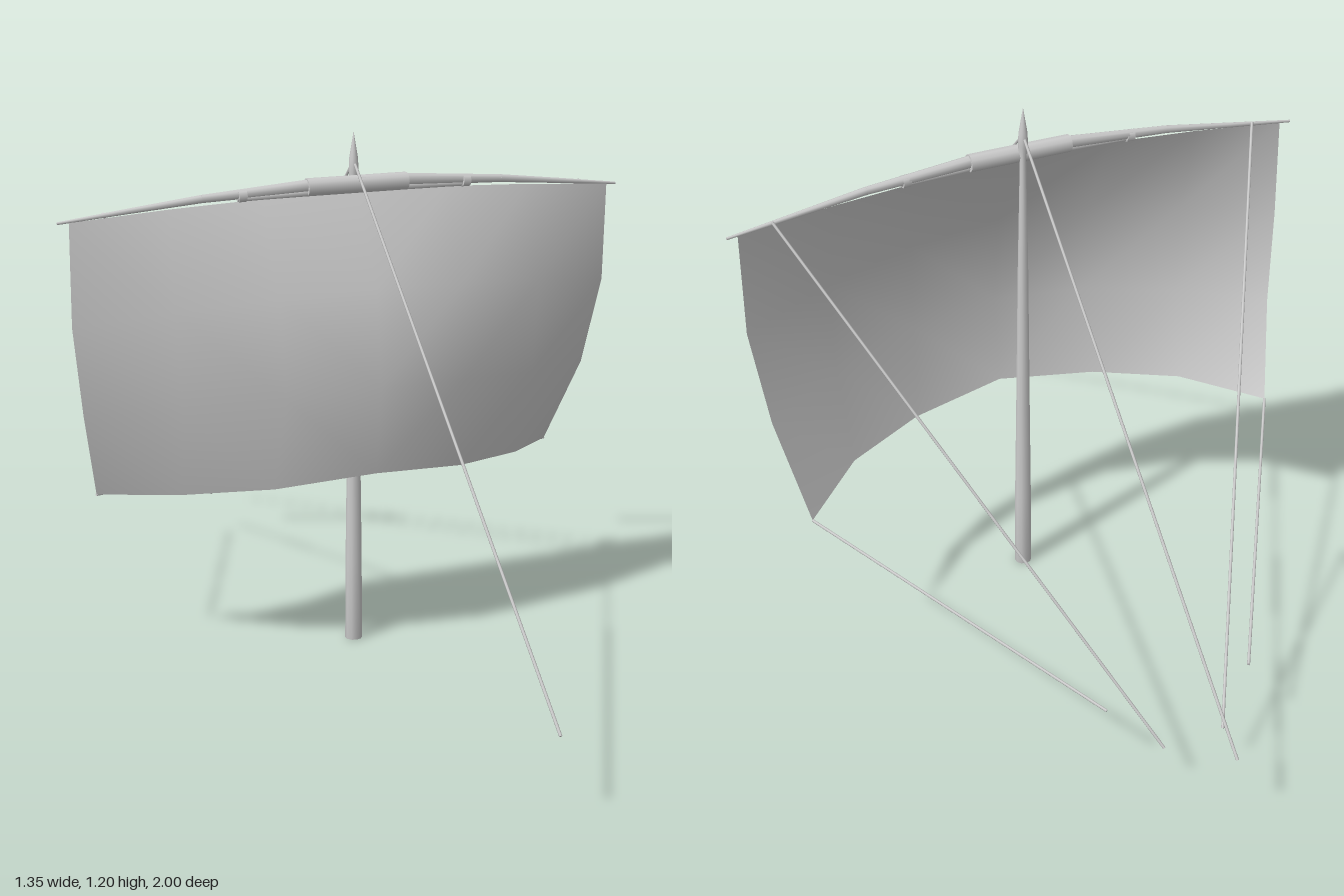
import * as THREE from 'three';

const material = new THREE.MeshStandardMaterial({ color: 0xcccccc });
const clothMaterial = new THREE.MeshStandardMaterial({ color: 0xcccccc, side: THREE.DoubleSide });

// Round rod between two points, with its own radius at each end
function rod(name, a, b, ra, rb = ra, sides = 8) {
  const from = new THREE.Vector3(...a), to = new THREE.Vector3(...b);
  const dir = to.clone().sub(from);
  const mesh = new THREE.Mesh(new THREE.CylinderGeometry(rb, ra, dir.length(), sides), material);
  mesh.name = name;
  mesh.position.copy(from).add(to).multiplyScalar(0.5);
  mesh.quaternion.setFromUnitVectors(new THREE.Vector3(0, 1, 0), dir.normalize());
  return mesh;
}

// Billowing square sail: half-rows of [x, y, z] from the centre line to the edge, mirrored
function createSail() {
  const rows = [
    [[0, 1.07, 0.022], [0.22, 1.066, 0.018], [0.43, 1.056, 0.008], [0.65, 1.04, -0.005]],
    [[0, 0.87, 0.13], [0.22, 0.86, 0.112], [0.44, 0.84, 0.062], [0.65, 0.81, -0.012]],
    [[0, 0.65, 0.158], [0.215, 0.64, 0.132], [0.43, 0.62, 0.06], [0.622, 0.6, -0.05]],
    [[0, 0.445, 0.13], [0.23, 0.425, 0.092], [0.42, 0.41, 0.005], [0.575, 0.387, -0.14]],
  ];
  const positions = [], index = [];
  for (const row of rows) {
    const left = row.slice(1).reverse().map(([x, y, z]) => [-x, y, z]);
    positions.push(...[...left, ...row].flat());
  }
  const n = 7;
  for (let r = 0; r < rows.length - 1; r++) {
    for (let c = 0; c < n - 1; c++) {
      const a = r * n + c, b = a + n;
      if (c < 3) index.push(a, b, b + 1, a, b + 1, a + 1);
      else index.push(a, b, a + 1, a + 1, b, b + 1);
    }
  }
  const geometry = new THREE.BufferGeometry();
  geometry.setAttribute('position', new THREE.Float32BufferAttribute(positions, 3));
  geometry.setIndex(index);
  geometry.computeVertexNormals();
  const sail = new THREE.Mesh(geometry, clothMaterial);
  sail.name = 'sail';
  return sail;
}

// Curved yard made of tapering spars, spliced in the middle
function createYard() {
  const yard = new THREE.Group();
  yard.name = 'yard';
  const spar = [
    [0, 1.09, 0.02, 0.015], [0.12, 1.088, 0.018, 0.014], [0.36, 1.074, 0.01, 0.009],
    [0.52, 1.057, 0.0, 0.006], [0.675, 1.04, -0.008, 0.003],
  ];
  for (const s of [-1, 1]) {
    for (let i = 0; i < spar.length - 1; i++) {
      const [x0, y0, z0, r0] = spar[i], [x1, y1, z1, r1] = spar[i + 1];
      yard.add(rod('yardSpar', [s * x0, y0, z0], [s * x1, y1, z1], r0, r1));
    }
    yard.add(rod('spliceSpar', [s * 0.1, 1.074, 0.02], [s * 0.28, 1.069, 0.015], 0.009, 0.006));
    yard.add(rod('lashing', [s * 0.26, 1.076, 0.015], [s * 0.278, 1.075, 0.014], 0.014));
  }
  yard.add(rod('centreBinding', [-0.12, 1.085, 0.018], [0.12, 1.085, 0.018], 0.02, 0.02, 10));
  return yard;
}

// Tapered mast with a pointed head
function createMast() {
  const profile = [[0, 0], [0.02, 0], [0.019, 0.2], [0.016, 0.44], [0.012, 0.8], [0.007, 1.08],
    [0.011, 1.11], [0.01, 1.14], [0, 1.2]].map(([r, y]) => new THREE.Vector2(r, y));
  const mast = new THREE.Mesh(new THREE.LatheGeometry(profile, 10), material);
  mast.name = 'mast';
  return mast;
}

// Stays, braces and sheets
function createRigging() {
  const rigging = new THREE.Group();
  rigging.name = 'rigging';
  const r = 0.0033;
  rigging.add(rod('foreStay', [0, 1.135, 0], [0, 0.18, 1], r, r, 6));
  rigging.add(rod('backStay', [0, 1.135, 0], [0, 0.18, -1], r, r, 6));
  for (const s of [-1, 1]) {
    rigging.add(rod('brace', [s * 0.575, 1.055, -0.005], [s * 0.07 + 0.006, 0.11, -0.84], r, r, 6));
    rigging.add(rod('sheet', [s * 0.575, 0.387, -0.14], [s * 0.17 + 0.003, 0.188, -0.765], r, r, 6));
  }
  return rigging;
}

export function createModel() {
  const model = new THREE.Group();
  model.name = 'mastAndSail';
  model.add(createMast(), createYard(), createSail(), createRigging());
  return model;
}
